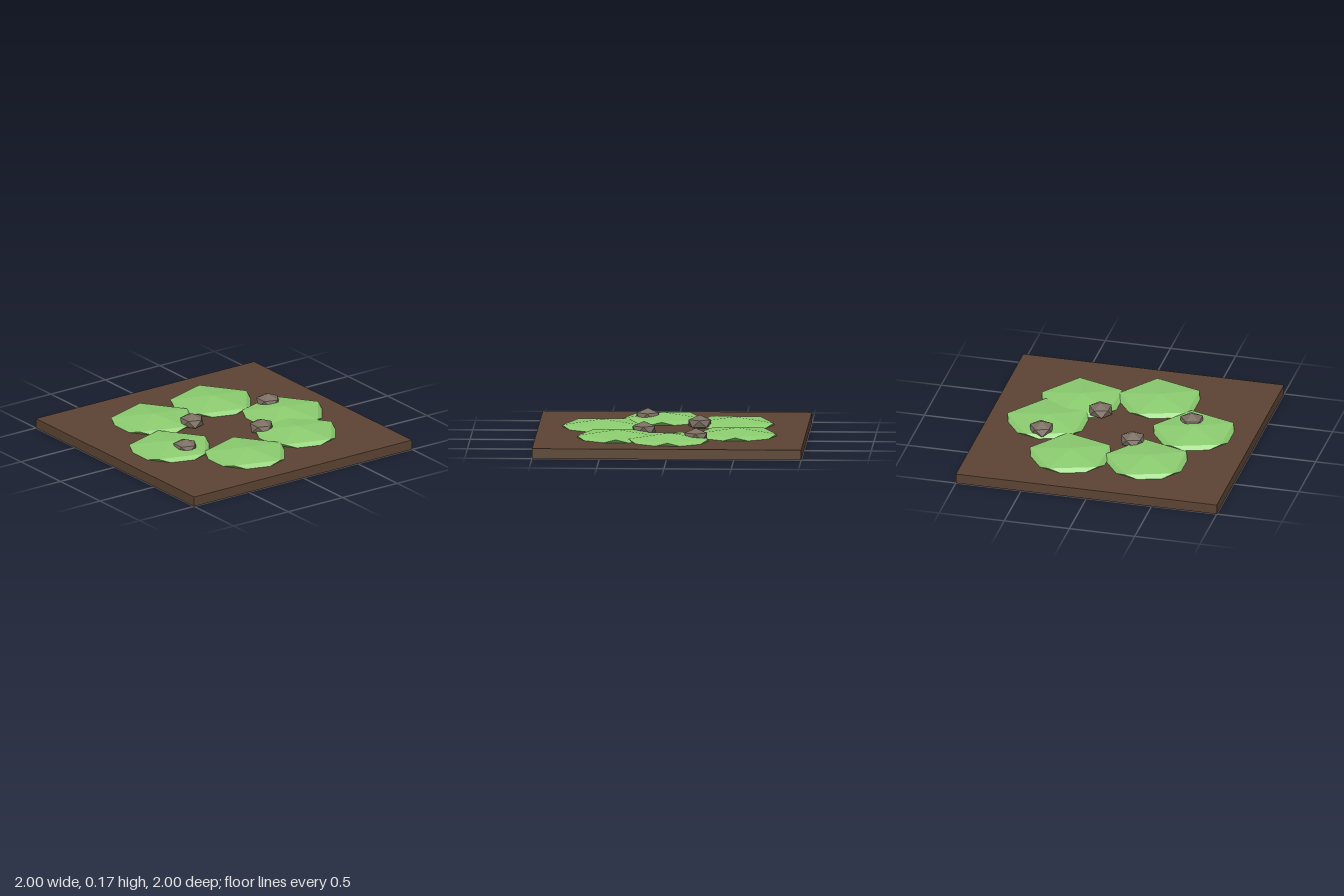
import * as THREE from 'three';

const soil = new THREE.MeshStandardMaterial({ color: 0x5c4433 });
soil.name = 'soilBrown';
const leaf = new THREE.MeshStandardMaterial({ color: 0x8ccd70, flatShading: true });
leaf.name = 'leafGreen';
const stone = new THREE.MeshStandardMaterial({ color: 0x7b6e61, flatShading: true });
stone.name = 'stoneGrey';

const BASE_HEIGHT = 0.075;

// Flattened icosahedron standing on a vertex, one upper corner pointing to +x
function squashedBall(radius, halfHeight) {
  const geometry = new THREE.IcosahedronGeometry(1, 0);
  geometry.rotateZ(-Math.atan(2 / (1 + Math.sqrt(5))));
  geometry.scale(radius, halfHeight, radius);
  return geometry;
}

// One named group of identical pieces placed at [x, z] spots
function scatter(name, geometry, material, y, spots) {
  const group = new THREE.Group();
  group.name = name + 's';
  spots.forEach(([x, z], i) => {
    const mesh = new THREE.Mesh(geometry, material);
    mesh.name = name + (i + 1);
    mesh.position.set(x, y, z);
    group.add(mesh);
  });
  return group;
}

export function createModel() {
  const model = new THREE.Group();
  model.name = 'gardenPatch';

  // Square slab of earth
  const base = new THREE.Mesh(new THREE.BoxGeometry(2, BASE_HEIGHT, 2), soil);
  base.name = 'soilBase';
  base.position.y = BASE_HEIGHT / 2;
  model.add(base);

  // Ring of low plants, half sunk into the earth
  model.add(scatter('plant', squashedBall(0.35, 0.06), leaf, BASE_HEIGHT, [
    [0.55, 0], [0.388, 0.39], [-0.172, 0.522],
    [-0.547, 0.085], [-0.325, -0.45], [0.25, -0.493],
  ]));

  // Small stones
  model.add(scatter('stone', squashedBall(0.098, 0.06), stone, 0.1125, [
    [-0.5, 0.2], [-0.15, -0.2], [0.2, 0.2], [0.55, -0.2],
  ]));

  return model;
}
